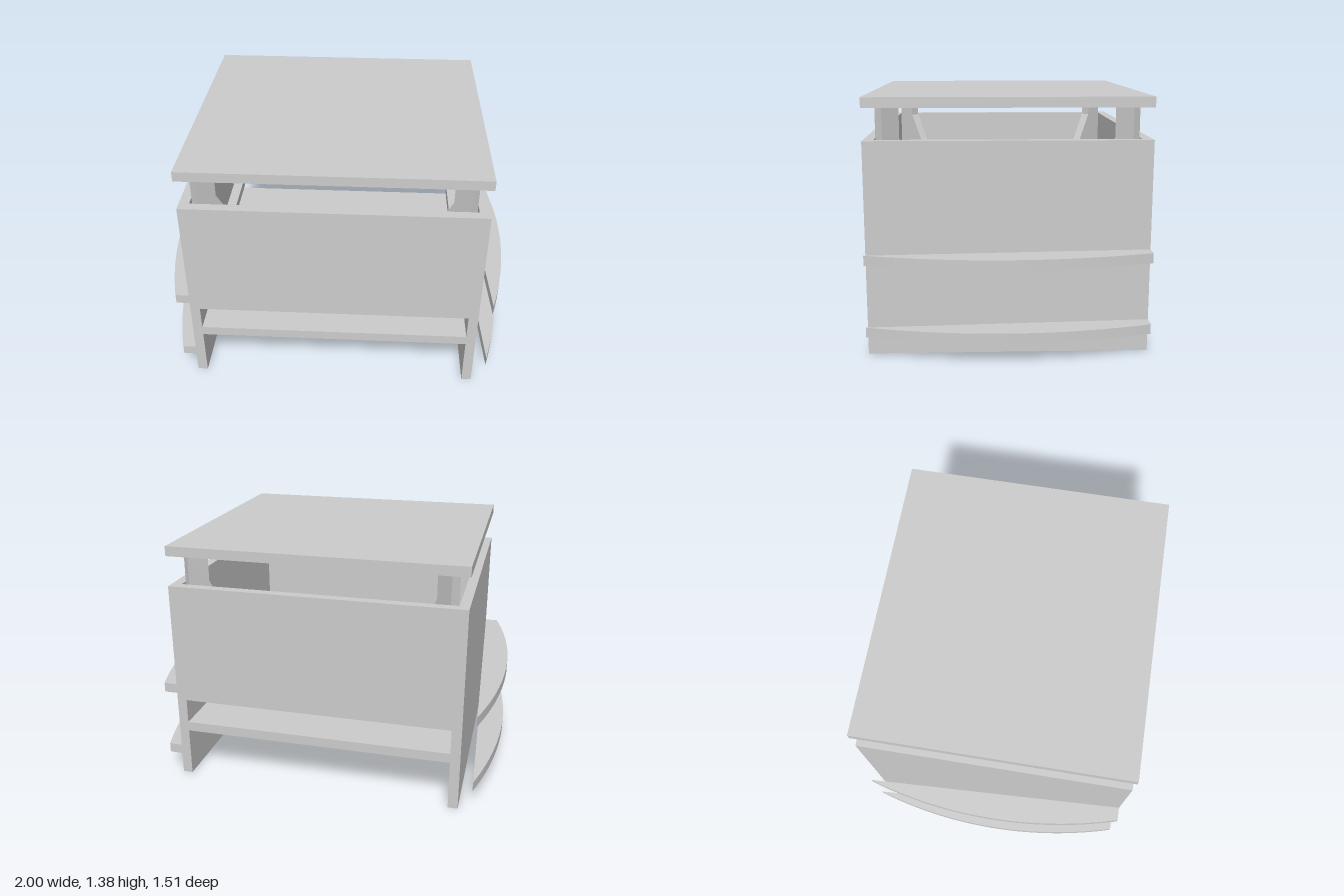
import * as THREE from 'three';

const material = new THREE.MeshStandardMaterial({ color: 0xcccccc, flatShading: true });
const T = 0.055; // board thickness
const HALF_W = 0.815, HALF_D = 0.757, RIM = 1.156;

export function createModel() {
  const group = new THREE.Group();

  const add = (name, geometry, x = 0, y = 0, z = 0, turn = 0) => {
    const mesh = new THREE.Mesh(geometry, material);
    mesh.name = name;
    mesh.position.set(x, y, z);
    mesh.rotation.y = turn;
    group.add(mesh);
  };
  // box given by its bottom height
  const board = (name, w, h, d, x, bottom, z) =>
    add(name, new THREE.BoxGeometry(w, h, d), x, bottom + h / 2, z);

  // lid and floor
  board('lid', HALF_W * 2, T, HALF_D * 2, 0, 1.325, 0);
  board('floor', (HALF_W - T) * 2, T, HALF_D * 2, 0, 0.28, 0);

  // curved side shelf, outlined from above
  const R = 2.646, arc = Math.asin(HALF_D / R);
  const outline = new THREE.Shape();
  outline.moveTo(HALF_W, -HALF_D);
  outline.absarc(1 - R, 0, R, -arc, arc, false);
  outline.lineTo(HALF_W, HALF_D);
  outline.closePath();
  const shelf = new THREE.ExtrudeGeometry(outline, { depth: T, bevelEnabled: false, curveSegments: 24 });
  shelf.rotateX(-Math.PI / 2);

  // lid post that widens inward below the rim
  const profile = new THREE.Shape([
    [0.058, 1.325], [-0.058, 1.325], [-0.058, RIM], [-0.17, 0.95], [0.058, 0.95],
  ].map(([x, y]) => new THREE.Vector2(x, y)));
  const post = new THREE.ExtrudeGeometry(profile, { depth: T, bevelEnabled: false });
  post.translate(0, 0, -T / 2);

  for (const s of [1, -1]) {
    const side = s > 0 ? 'left' : 'right';
    board(side + 'Wall', T, RIM, HALF_D * 2, s * (HALF_W - T / 2), 0, 0);
    board(s > 0 ? 'frontPanel' : 'backPanel', (HALF_W - T) * 2, RIM - 0.475, T, 0, 0.475, s * (HALF_D - T / 2));
    board(side + 'InnerRail', 0.06, T, (HALF_D - T) * 2, s * (HALF_W - T - 0.03), 0.515, 0);

    for (const [name, y] of [['LowerShelf', 0.122], ['UpperShelf', 0.515]])
      add(side + name, shelf, 0, y, 0, s > 0 ? 0 : Math.PI);

    // posts set diagonally in the corners
    for (const z of [1, -1])
      add(side + (z > 0 ? 'Front' : 'Back') + 'Post', post, s * 0.695, 0, z * 0.637, Math.atan2(-z, s));
  }
  return group;
}
